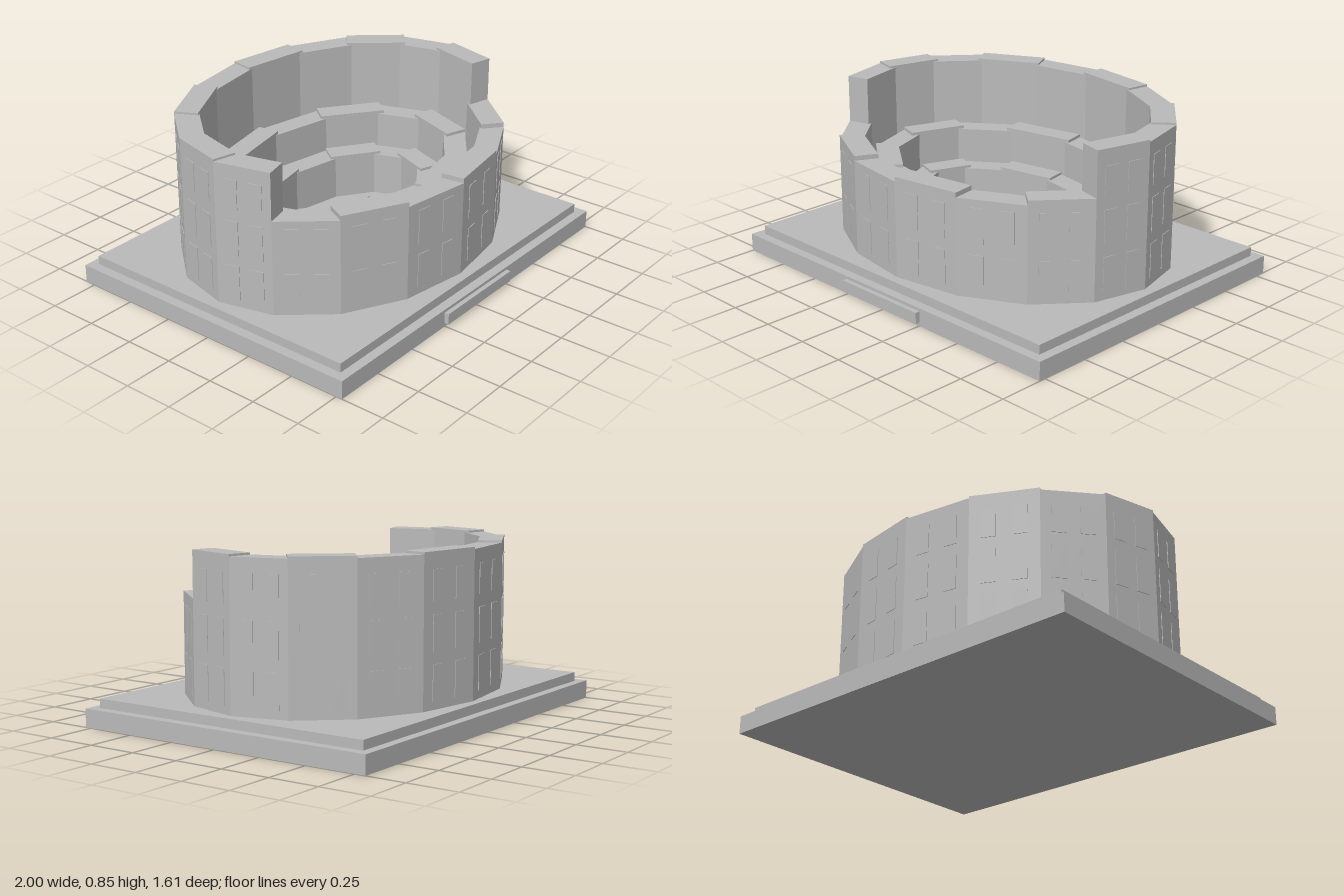
import * as THREE from 'three';

export function createModel() {
  const model = new THREE.Group();
  const stone = new THREE.MeshStandardMaterial({ color: 0xbababa });
  stone.name = 'stone';
  const CZ = -0.015; // centre of the building in depth
  const FLOOR = 0.135;

  // Box given by its extents on each axis
  function block(name, x0, x1, y0, y1, z0, z1) {
    const mesh = new THREE.Mesh(new THREE.BoxGeometry(x1 - x0, y1 - y0, z1 - z0), stone);
    mesh.position.set((x0 + x1) / 2, (y0 + y1) / 2, (z0 + z1) / 2);
    mesh.name = name;
    model.add(mesh);
  }

  // Stepped base with a front plaque
  block('base', -1, 1, 0, 0.09, -0.805, 0.782);
  block('baseStep', -0.952, 0.952, 0.09, FLOOR, -0.76, 0.735);
  block('plaque', -0.255, 0.255, 0.02, 0.075, 0.782, 0.805);

  // Low walls on the arena floor
  for (const z of [-0.128, -0.015, 0.098]) {
    block('arenaWall', -0.335, 0.335, FLOOR, 0.155, z - 0.014, z + 0.014);
  }

  // Elliptical ring of straight blocks; each block's outer face is a chord
  function ring(name, count, rx, rz, thick, topOf, rowsOf) {
    const group = new THREE.Group();
    group.name = name;
    const point = (k) => {
      const a = (k / count) * Math.PI * 2;
      return new THREE.Vector2(rx * Math.cos(a), rz * Math.sin(a) + CZ);
    };
    for (let k = 0; k < count; k++) {
      const a = point(k), b = point(k + 1);
      const length = a.distanceTo(b), top = topOf(k);
      const bay = new THREE.Group();
      bay.name = name + 'Bay';
      bay.position.set((a.x + b.x) / 2, 0, (a.y + b.y) / 2);
      // local +z points outward
      bay.rotation.y = Math.atan2(b.y - a.y, -(b.x - a.x));
      const wall = new THREE.Mesh(new THREE.BoxGeometry(length, top - FLOOR, thick), stone);
      wall.position.set(0, (top + FLOOR) / 2, -thick / 2);
      wall.name = name + 'Wall';
      bay.add(wall);
      // Pairs of thin window plates on each storey
      for (let row = 0; row < rowsOf(k); row++) {
        for (const side of [-1, 1]) {
          const h = row === 2 ? 0.145 : 0.17;
          const pane = new THREE.Mesh(new THREE.BoxGeometry(0.068, h, 0.006), stone);
          pane.position.set(side * length * 0.22, [0.258, 0.483, 0.7][row], 0);
          pane.name = 'window';
          bay.add(pane);
        }
      }
      group.add(bay);
    }
    model.add(group);
  }

  // Outer facade, broken down to two storeys along the front
  const isLow = (k) => k >= 1 && k <= 6;
  ring('facade', 16, 0.903, 0.704, 0.115,
    (k) => (isLow(k) ? (k % 2 ? 0.63 : 0.607) : (k % 2 ? 0.842 : 0.852)),
    (k) => (isLow(k) ? 2 : 3));

  // Inner seating tiers
  ring('upperTier', 12, 0.728, 0.55, 0.11, (k) => (k % 2 ? 0.52 : 0.535), () => 0);
  ring('lowerTier', 12, 0.588, 0.415, 0.11, (k) => (k % 2 ? 0.352 : 0.365), () => 0);

  return model;
}
